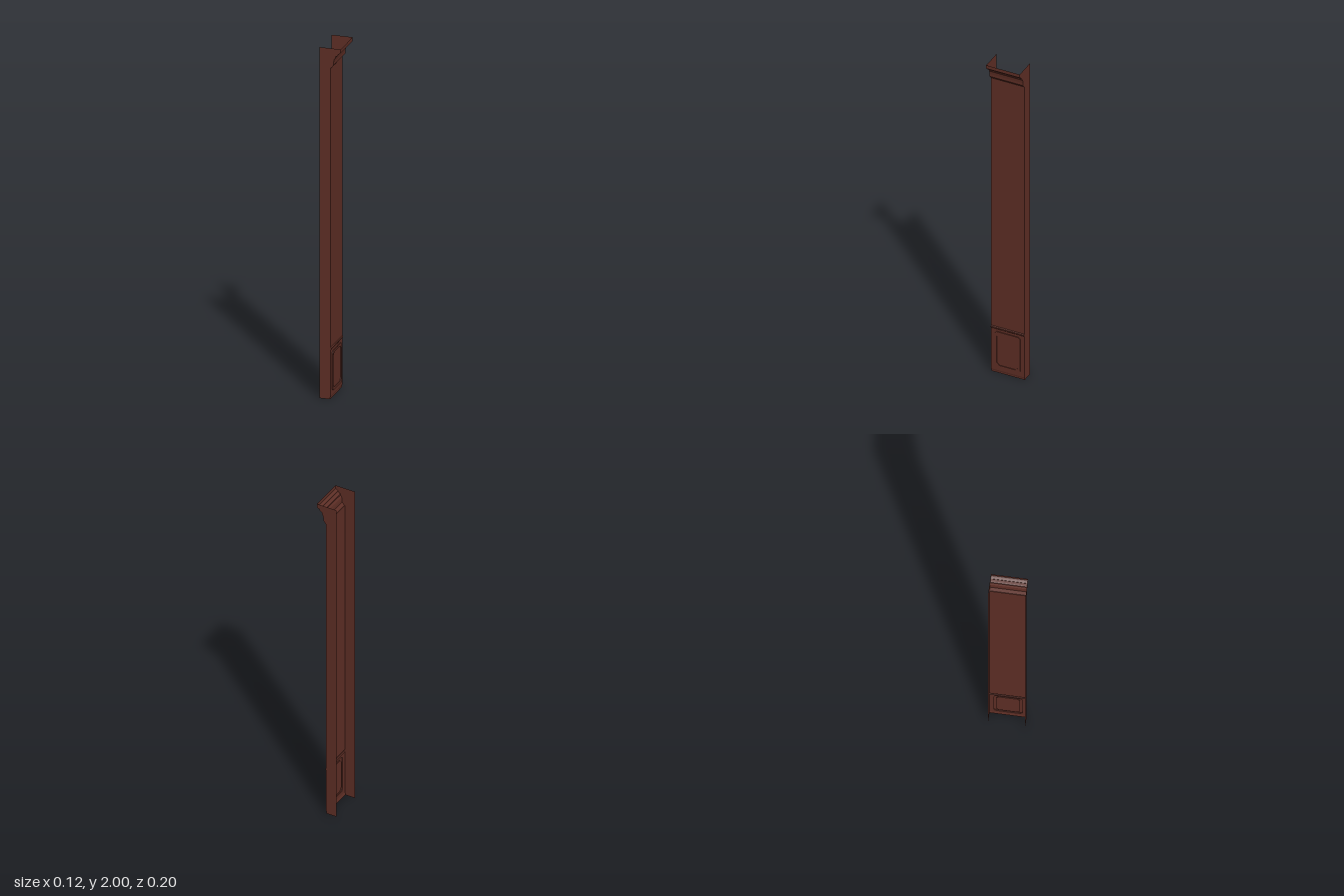
import * as THREE from 'three';

const HALF = 0.1;      // half width along z
const BACK = -0.06;    // open rear edge
const FACE = 0.003;    // plane of the shaft face

// Flat-shaded surface through successive rows of [x, y, z] points
function loft(rows) {
  const pos = [];
  for (let r = 0; r < rows.length - 1; r++) {
    const a = rows[r], b = rows[r + 1];
    for (let i = 0; i < a.length - 1; i++) {
      pos.push(...a[i], ...a[i + 1], ...b[i + 1], ...a[i], ...b[i + 1], ...b[i]);
    }
  }
  const g = new THREE.BufferGeometry();
  g.setAttribute('position', new THREE.Float32BufferAttribute(pos, 3));
  g.computeVertexNormals();
  return g;
}

// Moulding: an [x, y] profile, bottom to top, swept across the width
const sweep = (profile) => loft(profile.map(([x, y]) => [[x, y, HALF], [x, y, -HALF]]));

// Rectangle with cut corners, as [z, y] points
const PANEL_Y = 0.153;
function cutRect(hw, hh, c) {
  return [[hw - c, -hh], [hw, -hh + c], [hw, hh - c], [hw - c, hh],
    [-hw + c, hh], [-hw, hh - c], [-hw, -hh + c], [-hw + c, -hh]]
    .map(([z, y]) => [z, y + PANEL_Y]);
}
const toShape = (pts) => new THREE.Shape(pts.map(([z, y]) => new THREE.Vector2(z, y)));

export function createModel() {
  const group = new THREE.Group();
  group.name = 'pilaster';
  const wood = new THREE.MeshStandardMaterial({ color: 0x5c2d24, side: THREE.DoubleSide });
  wood.name = 'mahogany';

  const add = (name, geometry) => {
    const mesh = new THREE.Mesh(geometry, wood);
    mesh.name = name;
    group.add(mesh);
    return mesh;
  };
  // Flat plate facing +x
  const facePlate = (name, shape, x) => {
    const g = new THREE.ShapeGeometry(shape);
    g.rotateY(Math.PI / 2);
    g.translate(x, 0, 0);
    return add(name, g);
  };

  const base = [[0, 0], [0, 0.008], [FACE, 0.018], [FACE, 0.03]];
  const shaft = [[FACE, 0.28], [0.007, 0.285], [0.007, 0.291], [FACE, 0.296], [FACE, 1.888]];
  const cornice = [
    [FACE, 1.888], [0.006, 1.888], [0.016, 1.9], [0.02, 1.905], [0.02, 1.92], [0.023, 1.937],
    [0.03, 1.947], [0.03, 1.955], [0.036, 1.957], [0.045, 1.966],
    [0.045, 1.97], [0.054, 1.974], [0.06, 1.979], [0.06, 2],
  ];

  // Swept front surfaces
  add('base', sweep(base));
  add('shaftFace', sweep(shaft));
  add('cornice', sweep(cornice));

  // Lower face with an opening for the panel
  const outer = cutRect(0.077, 0.113, 0.012);
  const lower = toShape([[-HALF, 0.03], [HALF, 0.03], [HALF, 0.28], [-HALF, 0.28]]);
  lower.holes.push(toShape(outer));
  facePlate('lowerFace', lower, FACE);

  // Raised panel frame around a sunken field
  const inner = cutRect(0.064, 0.1, 0.016);
  const ring = (pts, x) => [...pts, pts[0]].map(([z, y]) => [x, y, z]);
  add('panelFrame', loft([
    ring(outer, FACE), ring(outer, 0.008), ring(inner, 0.008), ring(inner, 0.004),
  ]));
  facePlate('panelField', toShape(inner), 0.004);

  // Side plates follow the whole front profile; top, bottom and rear stay open
  const outline = [[BACK, 0], ...base, ...shaft, ...cornice, [BACK, 2]];
  const sideShape = new THREE.Shape(outline.map(([x, y]) => new THREE.Vector2(x, y)));
  for (const s of [1, -1]) {
    const side = add(s > 0 ? 'frontSide' : 'rearSide', new THREE.ShapeGeometry(sideShape));
    side.position.z = s * HALF;
  }
  return group;
}
